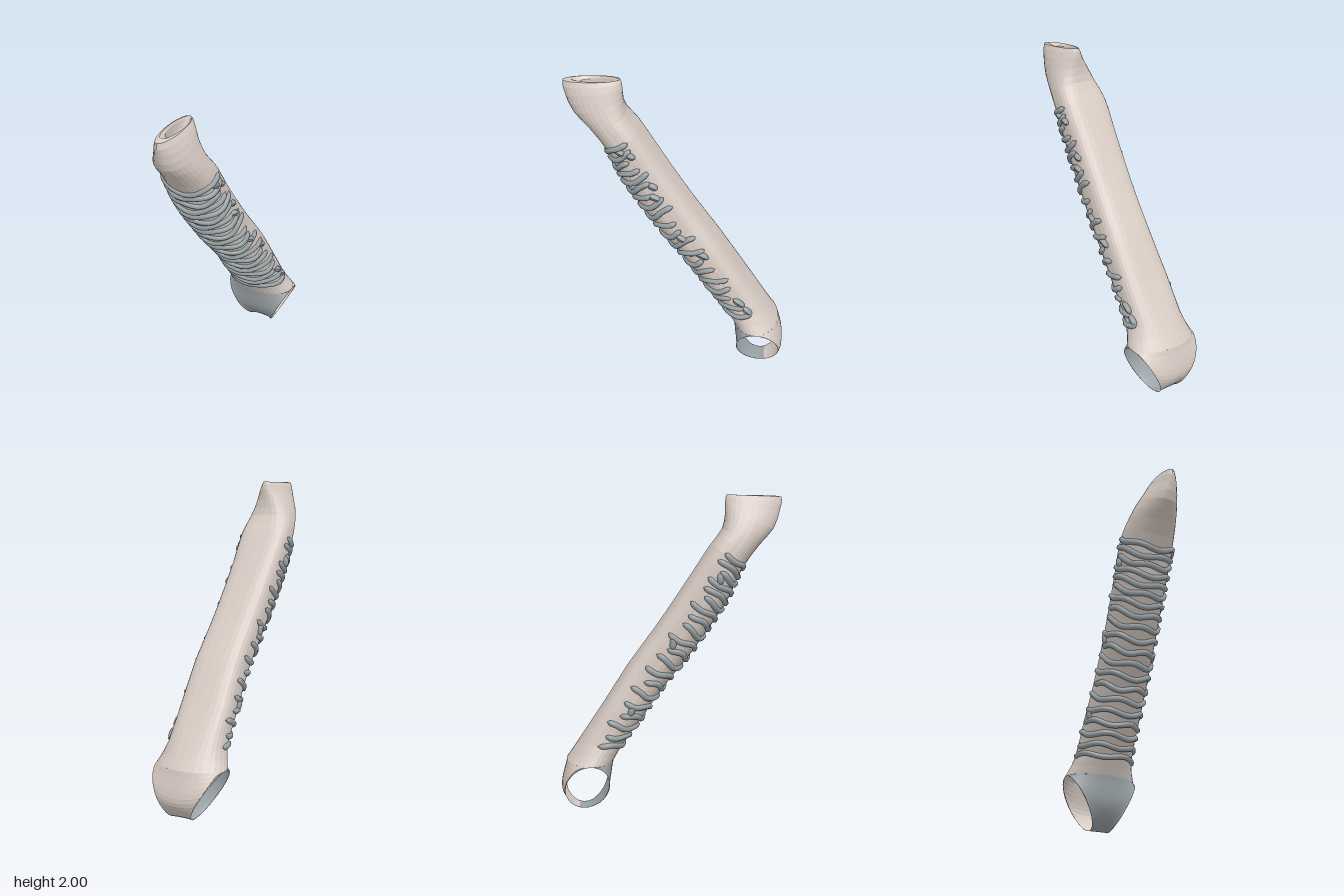
import * as THREE from 'three';
import { ParametricGeometry } from 'three/addons/geometries/ParametricGeometry.js';

const wallMat = new THREE.MeshStandardMaterial({ color: 0xd8ccc4, side: THREE.DoubleSide, flatShading: true });
const ringMat = new THREE.MeshStandardMaterial({ color: 0x9aa2a6, side: THREE.DoubleSide });

// Cross-sections from top to fork: front z, y, back z, y, centre x, half width
const sections = [
  [0.56, 1.80, 0.42, 1.84, -0.03, 0.06],   // inside of the mouth
  [0.60, 1.975, 0.37, 1.985, -0.03, 0.04],
  [0.70, 1.985, 0.355, 2.00, -0.03, 0.052],
  [0.69, 1.90, 0.345, 1.95, -0.03, 0.085],
  [0.65, 1.79, 0.345, 1.88, -0.04, 0.12],
  [0.56, 1.69, 0.33, 1.79, -0.045, 0.148],
  [0.45, 1.54, 0.26, 1.69, -0.045, 0.168],
  [0.375, 1.37, 0.155, 1.53, -0.04, 0.165],
  [0.27, 1.20, 0.05, 1.37, -0.03, 0.163],
  [0.13, 1.00, -0.10, 1.15, -0.015, 0.163],
  [-0.03, 0.80, -0.26, 0.93, 0, 0.168],
  [-0.17, 0.60, -0.42, 0.68, 0, 0.176],
  [-0.30, 0.42, -0.57, 0.46, 0.003, 0.188],
  [-0.36, 0.32, -0.66, 0.33, 0.005, 0.235],
];
const last = sections.length - 1;
const frontLine = new THREE.CatmullRomCurve3(sections.map(s => new THREE.Vector3(s[4], s[1], s[0])));
const backLine = new THREE.CatmullRomCurve3(sections.map(s => new THREE.Vector3(s[5], s[3], s[2])));

// Point on the tube wall: s = section index, t = angle from the front
function wallPoint(s, t, target) {
  const f = frontLine.getPoint(s / last), b = backLine.getPoint(s / last);
  let c = Math.cos(t), x = Math.sin(t);
  if (c < 0) {
    // flattened back, easing to a plain oval at both ends
    const e = 1 - 0.4 * THREE.MathUtils.smoothstep(s, 3, 6) * (1 - THREE.MathUtils.smoothstep(s, last - 2, last));
    c = -Math.pow(-c, e);
    x = Math.sign(x) * Math.pow(Math.abs(x), e);
  }
  return target.set(f.x + b.x * x, (f.y + b.y) / 2 + (f.y - b.y) / 2 * c, (f.z + b.z) / 2 + (f.z - b.z) / 2 * c);
}

// Centre line of the saddle below the tube, running front - bottom - back
const saddleLine = new THREE.CatmullRomCurve3(
  [[-0.36, 0.32], [-0.41, 0.12], [-0.55, 0], [-0.69, 0.12], [-0.66, 0.33]].map(([z, y]) => new THREE.Vector3(0, y, z)));

// Saddle between the two side openings: a = 0 front top, 1 back top; v runs across
function saddlePoint(a, v, target) {
  const w = a * Math.PI * 2, t = (v - 0.5) * Math.PI, k = Math.cos(t);
  const rimY = 0.1625 + 0.1625 * Math.cos(w);
  const rimZ = -0.55 + 0.02 * (1 + Math.cos(w)) + 0.14 * Math.sin(w);
  const c = saddleLine.getPoint(a);
  const h = rimY / 0.325;
  return target.set(0.005 + 0.022 * (1 - h) + (0.065 + 0.17 * h) * Math.sin(t),
    rimY + (c.y - rimY) * k, rimZ + (c.z - rimZ) * k);
}

// Rounded band along points, closed to a tip at both ends
function band(points, radius, segments) {
  const curve = new THREE.CatmullRomCurve3(points), sides = 7;
  const geo = new THREE.TubeGeometry(curve, segments, radius, sides);
  const p = geo.attributes.position, v = new THREE.Vector3();
  for (let i = 0; i <= segments; i++) {
    const edge = Math.min(i, segments - i);
    const keep = edge === 0 ? 0 : edge === 1 ? 0.8 : 1;
    const centre = curve.getPointAt(i / segments);
    for (let j = 0; j <= sides; j++) {
      const n = i * (sides + 1) + j;
      v.fromBufferAttribute(p, n).sub(centre).multiplyScalar(keep).add(centre);
      p.setXYZ(n, v.x, v.y, v.z);
    }
  }
  geo.computeVertexNormals();
  return geo;
}

export function createModel() {
  const group = new THREE.Group();
  const add = (name, geo, mat) => {
    const mesh = new THREE.Mesh(geo, mat);
    mesh.name = name;
    group.add(mesh);
  };

  // Tube wall, with the mouth folded inwards
  add('tubeWall', new ParametricGeometry((u, v, p) => wallPoint(v * last, u * Math.PI * 2, p), 30, last * 2), wallMat);

  // Fork: cartilage saddle in front and below, soft wall behind
  add('forkSaddle', new ParametricGeometry((u, v, p) => saddlePoint(u * 0.55, v, p), 14, 16), ringMat);
  add('forkBackWall', new ParametricGeometry((u, v, p) => saddlePoint(0.55 + u * 0.45, v, p), 12, 16), wallMat);

  // C-shaped cartilage rings, uneven at their ends
  const count = 20, first = 5.95, step = (last - 1.05 - first) / (count - 1);
  for (let i = 0; i < count; i++) {
    const s = first + i * step, points = [];
    const from = -1.78 - 0.18 * Math.sin(i * 2.3), to = 1.78 + 0.2 * Math.sin(i * 1.7 + 1);
    for (let j = 0; j <= 16; j++) {
      const t = from + (to - from) * j / 16;
      points.push(wallPoint(s + 0.05 * Math.sin(j * 0.9 + i * 2.1), t, new THREE.Vector3()));
    }
    add('cartilageRing', band(points, 0.019, 36), ringMat);
  }

  // Short bridges joining neighbouring rings at the sides
  for (const [i, t] of [[0, 1.5], [1, 1.7], [2, -1.5], [5, 1.75], [6, 1.6], [9, -1.6], [10, 1.5], [12, 1.65], [15, -1.4], [17, 1.7], [18, 1.8]]) {
    const points = [0, 0.5, 1].map(k => wallPoint(first + (i + k) * step, t + 0.2 * (k - 0.5), new THREE.Vector3()));
    add('ringBridge', band(points, 0.021, 6), ringMat);
  }
  return group;
}
